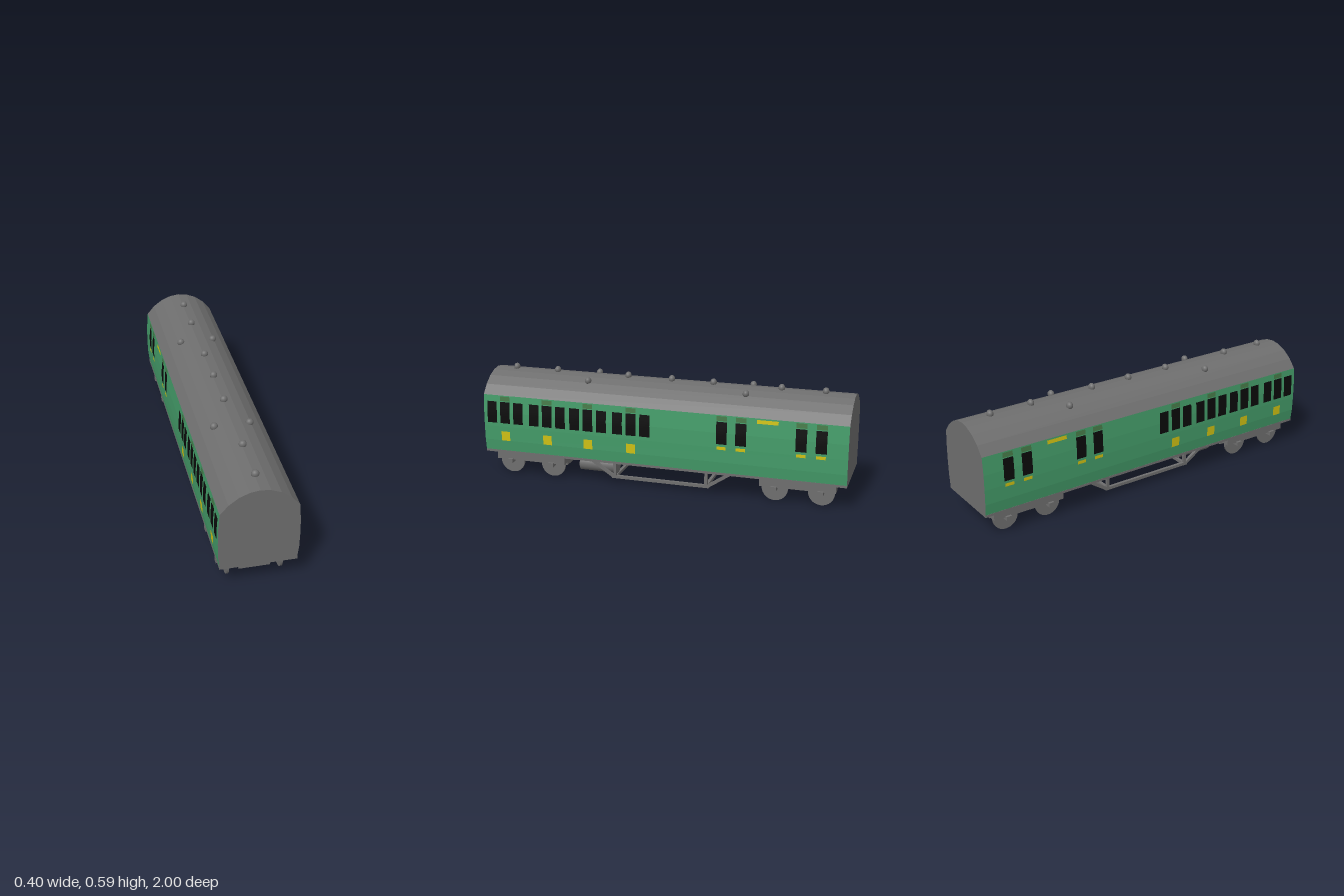
import * as THREE from 'three';

const mat = (name, color) => Object.assign(new THREE.MeshStandardMaterial({ color }), { name });

export function createModel() {
  const grey = mat('grey', 0x6e6e6e);
  const green = mat('carriage green', 0x449c69);
  const black = mat('window black', 0x0a0a0a);
  const yellow = mat('yellow', 0xd0c214);
  const olive = mat('vent olive', 0x457a48);

  const model = new THREE.Group();
  model.name = 'railwayCarriage';

  const add = (name, geometry, material, parent = model) => {
    const mesh = new THREE.Mesh(geometry, material);
    mesh.name = name;
    parent.add(mesh);
    return mesh;
  };
  const box = (name, w, h, d, x, y, z, parent) =>
    add(name, new THREE.BoxGeometry(w, h, d), grey, parent).position.set(x, y, z);

  // Half profiles, mirrored and extruded along the full length
  const wall = [[0.19, 0.14], [0.197, 0.2], [0.199, 0.28], [0.198, 0.36], [0.191, 0.455]];
  const roof = [[0.191, 0.455], [0.15, 0.503], [0.1, 0.54], [0.05, 0.56], [0, 0.567]];
  const extrudeProfile = (half) => {
    const mirrored = half.filter(([x]) => x > 0).map(([x, y]) => [-x, y]).reverse();
    const shape = new THREE.Shape([...half, ...mirrored].map(([x, y]) => new THREE.Vector2(x, y)));
    return new THREE.ExtrudeGeometry(shape, { depth: 2, bevelEnabled: false }).translate(0, 0, -1);
  };
  add('body', extrudeProfile(wall), [grey, green]);
  add('roof', extrudeProfile(roof), grey);
  box('floor', 0.382, 0.013, 2, 0, 0.134, 0);

  // Wall half-width at a height
  const wallX = (y) => {
    let i = 0;
    while (i < wall.length - 2 && y > wall[i + 1][1]) i++;
    const [[x0, y0], [x1, y1]] = [wall[i], wall[i + 1]];
    return x0 + (x1 - x0) * (y - y0) / (y1 - y0);
  };
  // Thin painted panel that follows the curve of the wall
  const panel = (name, side, z, width, y0, y1, material) => {
    const g = new THREE.PlaneGeometry(width, y1 - y0, 1, 4);
    g.rotateY(side * Math.PI / 2).translate(0, (y0 + y1) / 2, z);
    const p = g.attributes.position;
    for (let i = 0; i < p.count; i++) p.setX(i, side * (wallX(p.getY(i)) + 0.002));
    g.computeVertexNormals();
    add(name, g, material);
  };

  const compartments = [0.875, 0.628, 0.393, 0.15];
  const luggageDoors = [-0.345, -0.447, -0.76, -0.863];
  for (const side of [1, -1]) {
    for (const z of compartments) {
      for (const dz of [0.076, 0, -0.077]) panel('window', side, z + dz, 0.056, 0.3, 0.42, black);
      panel('doorVent', side, z, 0.056, 0.425, 0.45, olive);
      panel('classPanel', side, z, 0.05, 0.2, 0.253, yellow);
    }
    for (const z of luggageDoors) {
      panel('doorWindow', side, z, 0.057, 0.3, 0.42, black);
      panel('doorVent', side, z, 0.056, 0.425, 0.45, olive);
      panel('doorLabel', side, z, 0.049, 0.27, 0.287, yellow);
    }
    panel('signPanel', side, -0.585, 0.112, 0.428, 0.448, yellow);
  }

  // Roof ventilators
  const ventGeometry = new THREE.SphereGeometry(0.02, 16, 10).scale(1, 1, 0.85);
  const vent = (x, y, z) => add('roofVent', ventGeometry, grey).position.set(x, y, z);
  for (const z of [0.88, 0.635, 0.225, -0.02, -0.25, -0.615, -0.845]) vent(0.004, 0.574, z);
  for (const z of [0.425, -0.445]) for (const x of [-0.091, 0.091]) vent(x, 0.551, z);

  // Bogies
  const wheelGeometry = new THREE.CylinderGeometry(0.07, 0.07, 0.011, 28).rotateZ(Math.PI / 2);
  const axleGeometry = new THREE.CylinderGeometry(0.007, 0.007, 0.26, 10).rotateZ(Math.PI / 2);
  for (const [name, centre] of [['frontBogie', 0.745], ['rearBogie', -0.743]]) {
    const bogie = new THREE.Group();
    bogie.name = name;
    bogie.position.z = centre;
    model.add(bogie);
    box('bogieCentre', 0.156, 0.06, 0.36, 0, 0.078, 0, bogie);
    box('bolster', 0.22, 0.02, 0.1, 0, 0.118, 0, bogie);
    for (const side of [1, -1]) box('sideFrame', 0.064, 0.046, 0.4, side * 0.137, 0.105, 0, bogie);
    for (const z of [0.122, -0.122]) {
      add('axle', axleGeometry, grey, bogie).position.set(0, 0.072, z);
      for (const side of [1, -1]) {
        add('wheel', wheelGeometry, grey, bogie).position.set(side * 0.134, 0.07, z);
        box('axleBox', 0.042, 0.023, 0.03, side * 0.161, 0.077, z, bogie);
      }
    }
  }

  // Truss rods and cross bars below the floor
  const bar = (name, x, [z0, y0], [z1, y1]) => {
    const length = Math.hypot(z1 - z0, y1 - y0);
    const mesh = add(name, new THREE.BoxGeometry(0.016, 0.016, length), grey);
    mesh.position.set(x, (y0 + y1) / 2, (z0 + z1) / 2);
    mesh.rotation.x = -Math.atan2(y1 - y0, z1 - z0);
  };
  for (const x of [0.156, -0.142]) {
    bar('trussRod', x, [-0.27, 0.043], [0.27, 0.043]);
    for (const end of [1, -1]) {
      bar('trussDiagonal', x, [end * 0.262, 0.043], [end * 0.395, 0.132]);
      bar('trussPost', x, [end * 0.255, 0.043], [end * 0.255, 0.132]);
    }
  }
  for (const z of [0.255, -0.255]) box('crossBar', 0.3, 0.016, 0.016, 0.007, 0.043, z);

  // Underfloor tanks
  const tankGeometry = new THREE.CylinderGeometry(0.042, 0.042, 0.21, 24).rotateX(Math.PI / 2);
  for (const x of [-0.067, 0.11]) add('tank', tankGeometry, grey).position.set(x, 0.091, 0.358);

  return model;
}
